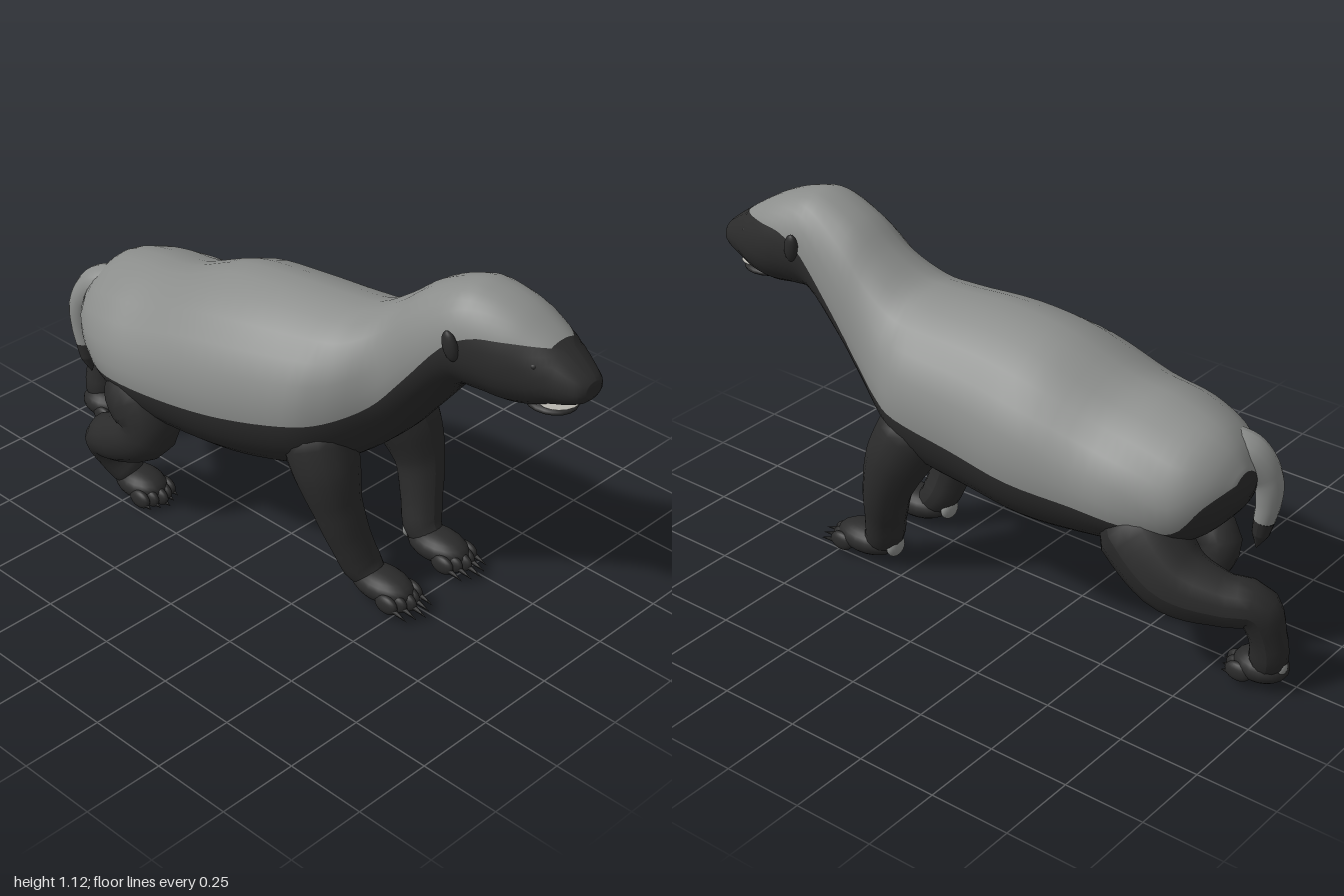
import * as THREE from 'three';

const paint = (name, color) => Object.assign(new THREE.MeshStandardMaterial({ color }), { name });

// Uniform Catmull-Rom through four numbers
function blend(a, b, c, d, t) {
  return b + 0.5 * t * (c - a + t * (2 * a - 5 * b + 4 * c - d + t * (3 * (b - c) + d - a)));
}

// Body cross-sections, nose to rump: z, centre x, half width, top, bottom, colour line
const SECTIONS = [
  [1.0, 0.122, 0.032, 0.93, 0.885, 0.94],
  [0.985, 0.122, 0.055, 0.945, 0.865, 0.96],
  [0.95, 0.121, 0.075, 0.972, 0.848, 0.98],
  [0.9, 0.12, 0.096, 1.007, 0.832, 1.003],
  [0.85, 0.117, 0.115, 1.04, 0.812, 1.01],
  [0.78, 0.108, 0.135, 1.08, 0.8, 1.012],
  [0.7, 0.095, 0.145, 1.107, 0.805, 1.003],
  [0.62, 0.085, 0.15, 1.112, 0.79, 0.95],
  [0.5, 0.08, 0.16, 1.06, 0.65, 0.8],
  [0.4, 0.075, 0.18, 0.98, 0.53, 0.68],
  [0.3, 0.055, 0.235, 0.918, 0.44, 0.615],
  [0.2, 0.04, 0.282, 0.905, 0.385, 0.59],
  [0, 0.01, 0.303, 0.9, 0.34, 0.55],
  [-0.2, 0, 0.315, 0.87, 0.32, 0.52],
  [-0.4, -0.02, 0.3, 0.79, 0.33, 0.5],
  [-0.55, -0.02, 0.275, 0.77, 0.355, 0.48],
  [-0.68, -0.01, 0.22, 0.735, 0.4, 0.475],
  [-0.75, -0.01, 0.15, 0.685, 0.46, 0.56],
  [-0.79, -0.01, 0.06, 0.62, 0.53, 0.6],
];

// Smooth loft whose rings always have a vertex on the colour line
function bodyGeometry() {
  const UP = 14, LOW = 18, N = UP + LOW, SUB = 4;
  const rows = [];
  const last = SECTIONS.length - 1;
  for (let i = 0; i < last; i++) {
    for (let k = 0; k < SUB; k++) {
      rows.push(SECTIONS[i].map((v, c) => blend(
        SECTIONS[Math.max(i - 1, 0)][c], v, SECTIONS[i + 1][c],
        SECTIONS[Math.min(i + 2, last)][c], k / SUB)));
    }
  }
  rows.push(SECTIONS[last]);

  const pos = [], light = [], dark = [];
  for (const [z, cx, w, top, bottom, line] of rows) {
    const mid = bottom + 0.45 * (top - bottom);
    const reach = line > mid ? top - mid : mid - bottom;
    const a0 = Math.asin(THREE.MathUtils.clamp((line - mid) / reach, -0.98, 0.98));
    // Rounded head; trunk narrows towards the spine and is full below
    const trunk = 1 - THREE.MathUtils.smoothstep(z, 0.15, 0.5);
    const upper = 0.87 + 0.33 * trunk, lower = 0.87 - 0.17 * trunk;
    for (let j = 0; j < N; j++) {
      const a = j < UP
        ? a0 + (Math.PI - 2 * a0) * j / UP
        : Math.PI - a0 + (Math.PI + 2 * a0) * (j - UP) / LOW;
      const c = Math.cos(a), s = Math.sin(a);
      pos.push(cx + w * Math.sign(c) * Math.abs(c) ** (s > 0 ? upper : lower),
        mid + s * (s > 0 ? top - mid : mid - bottom), z);
    }
  }
  for (let i = 0; i < rows.length - 1; i++) {
    for (let j = 0; j < N; j++) {
      const a = i * N + j, b = i * N + (j + 1) % N;
      const list = j < UP && rows[i][0] < 0.893 ? light : dark;
      list.push(a, a + N, b, b, a + N, b + N);
    }
  }
  // Closing fans at nose and rump
  const end = (rows.length - 1) * N, nose = rows.length * N;
  pos.push(0.122, 0.907, 1.0, -0.01, 0.57, -0.8);
  for (let j = 0; j < N; j++) {
    const k = (j + 1) % N;
    dark.push(nose, j, k, nose + 1, end + k, end + j);
  }
  const g = new THREE.BufferGeometry();
  g.setAttribute('position', new THREE.Float32BufferAttribute(pos, 3));
  g.setIndex([...light, ...dark]);
  g.addGroup(0, light.length, 0);
  g.addGroup(light.length, dark.length, 1);
  g.computeVertexNormals();
  return g;
}

// Tube through points [x, y, z, radius], its radius following the points
function taperedTube(points) {
  const curve = new THREE.CatmullRomCurve3(points.map(p => new THREE.Vector3(p[0], p[1], p[2])));
  const segs = 28, sides = 16, n = points.length - 1;
  const g = new THREE.TubeGeometry(curve, segs, 1, sides);
  const p = g.attributes.position, v = new THREE.Vector3();
  for (let i = 0; i <= segs; i++) {
    const c = curve.getPointAt(i / segs);
    const f = curve.getUtoTmapping(i / segs) * n;
    const k = Math.min(Math.floor(f), n - 1);
    const r = THREE.MathUtils.lerp(points[k][3], points[k + 1][3], f - k);
    for (let j = 0; j <= sides; j++) {
      const q = i * (sides + 1) + j;
      v.fromBufferAttribute(p, q).sub(c).multiplyScalar(r).add(c);
      p.setXYZ(q, v.x, v.y, v.z);
    }
  }
  g.computeVertexNormals();
  return g;
}

export function createModel() {
  const model = new THREE.Group();
  model.name = 'badger';
  const grey = paint('silverFur', 0x8b8d8b);
  const black = paint('darkFur', 0x2b2b2b);
  const horn = paint('claw', 0x1f1f1f);
  const ivory = paint('tooth', 0xb5b3ac);

  const add = (name, geo, mat, parent = model) => {
    const m = new THREE.Mesh(geo, mat);
    m.name = name;
    parent.add(m);
    return m;
  };
  const ball = new THREE.SphereGeometry(1, 18, 12);
  const blob = (name, mat, at, size, parent) => {
    const m = add(name, ball, mat, parent);
    m.position.set(...at);
    m.scale.set(...size);
    return m;
  };

  add('body', bodyGeometry(), [grey, black]);

  // Face
  blob('lowerJaw', black, [0.12, 0.817, 0.865], [0.07, 0.02, 0.078]);
  blob('teeth', ivory, [0.12, 0.834, 0.89], [0.066, 0.005, 0.06]);
  blob('nose', horn, [0.122, 0.912, 0.972], [0.036, 0.022, 0.027]);
  for (const s of [-1, 1]) {
    blob('eye', horn, [0.118 + s * 0.088, 0.96, 0.866], [0.012, 0.012, 0.014]);
    const ear = blob('ear', black, [0.087 + s * 0.149, 0.972, 0.655], [0.017, 0.047, 0.024]);
    ear.rotation.set(-0.2, 0, -s * 0.12);
  }

  // Paw with five toes and claws; x, y, z is the middle of the sole
  const clawGeo = new THREE.ConeGeometry(0.01, 1, 8);
  function paw(name, x, y, z, length, claw) {
    const g = new THREE.Group();
    g.name = name;
    g.position.set(x, y, z);
    model.add(g);
    blob('foot', black, [0, 0.048, 0], [0.068, 0.048, length], g);
    for (let i = -2; i <= 2; i++) {
      const tz = length * 0.82 - Math.abs(i) * 0.013;
      blob('toe', black, [i * 0.027, 0.032, tz], [0.018, 0.03, 0.042], g);
      const c = add('claw', clawGeo, horn, g);
      c.scale.y = claw;
      c.position.set(i * 0.028, 0.02, tz + 0.025 + claw / 2);
      c.rotation.x = Math.PI / 2 + 0.25;
    }
  }

  // Legs
  add('frontLeftLeg', taperedTube([
    [0.16, 0.6, 0.17, 0.06], [0.212, 0.5, 0.215, 0.112], [0.24, 0.41, 0.255, 0.1],
    [0.252, 0.3, 0.29, 0.076], [0.232, 0.18, 0.32, 0.064], [0.215, 0.1, 0.345, 0.061],
    [0.212, 0.06, 0.4, 0.04], [0.212, 0.055, 0.44, 0.004]]), black);
  add('frontRightLeg', taperedTube([
    [-0.06, 0.6, 0.17, 0.06], [-0.1, 0.5, 0.215, 0.112], [-0.11, 0.41, 0.255, 0.1],
    [-0.104, 0.3, 0.29, 0.076], [-0.08, 0.18, 0.325, 0.064], [-0.058, 0.1, 0.355, 0.061],
    [-0.05, 0.06, 0.41, 0.04], [-0.05, 0.055, 0.45, 0.004]]), black);
  add('hindLeftLeg', taperedTube([
    [0.07, 0.5, -0.45, 0.06], [0.135, 0.42, -0.55, 0.13], [0.155, 0.32, -0.68, 0.108],
    [0.125, 0.288, -0.82, 0.077], [0.085, 0.278, -0.9, 0.07], [0.065, 0.19, -0.932, 0.055],
    [0.05, 0.1, -0.932, 0.057], [0.046, 0.06, -0.91, 0.04], [0.044, 0.055, -0.87, 0.004]]), black);
  add('hindRightLeg', taperedTube([
    [-0.11, 0.52, -0.52, 0.08], [-0.205, 0.42, -0.42, 0.128], [-0.235, 0.325, -0.375, 0.095],
    [-0.25, 0.25, -0.48, 0.08], [-0.24, 0.205, -0.57, 0.07], [-0.215, 0.13, -0.565, 0.055],
    [-0.19, 0.07, -0.52, 0.05], [-0.185, 0.05, -0.47, 0.004]]), black);
  paw('frontLeftPaw', 0.212, 0.015, 0.41, 0.11, 0.06);
  paw('frontRightPaw', -0.048, 0.015, 0.425, 0.11, 0.06);
  paw('hindLeftPaw', 0.04, 0.015, -0.905, 0.085, 0.03);
  paw('hindRightPaw', -0.18, 0, -0.485, 0.095, 0.03);

  // Pale pads behind the wrists and heels
  blob('leftWristPad', grey, [0.214, 0.07, 0.3], [0.036, 0.034, 0.02]);
  blob('rightWristPad', grey, [-0.056, 0.07, 0.31], [0.036, 0.034, 0.02]);
  blob('leftHeelPad', grey, [0.05, 0.085, -0.98], [0.02, 0.02, 0.012]);
  blob('rightHeelPad', grey, [-0.195, 0.07, -0.562], [0.02, 0.02, 0.014]);

  // Tail with a dark tip
  add('tail', taperedTube([
    [-0.07, 0.635, -0.65, 0.07], [-0.1, 0.62, -0.74, 0.062], [-0.125, 0.55, -0.79, 0.045],
    [-0.13, 0.47, -0.795, 0.037], [-0.13, 0.41, -0.785, 0.032]]), grey);
  add('tailTip', taperedTube([
    [-0.13, 0.41, -0.785, 0.032], [-0.13, 0.36, -0.775, 0.026],
    [-0.128, 0.31, -0.765, 0.002]]), black);

  return model;
}
